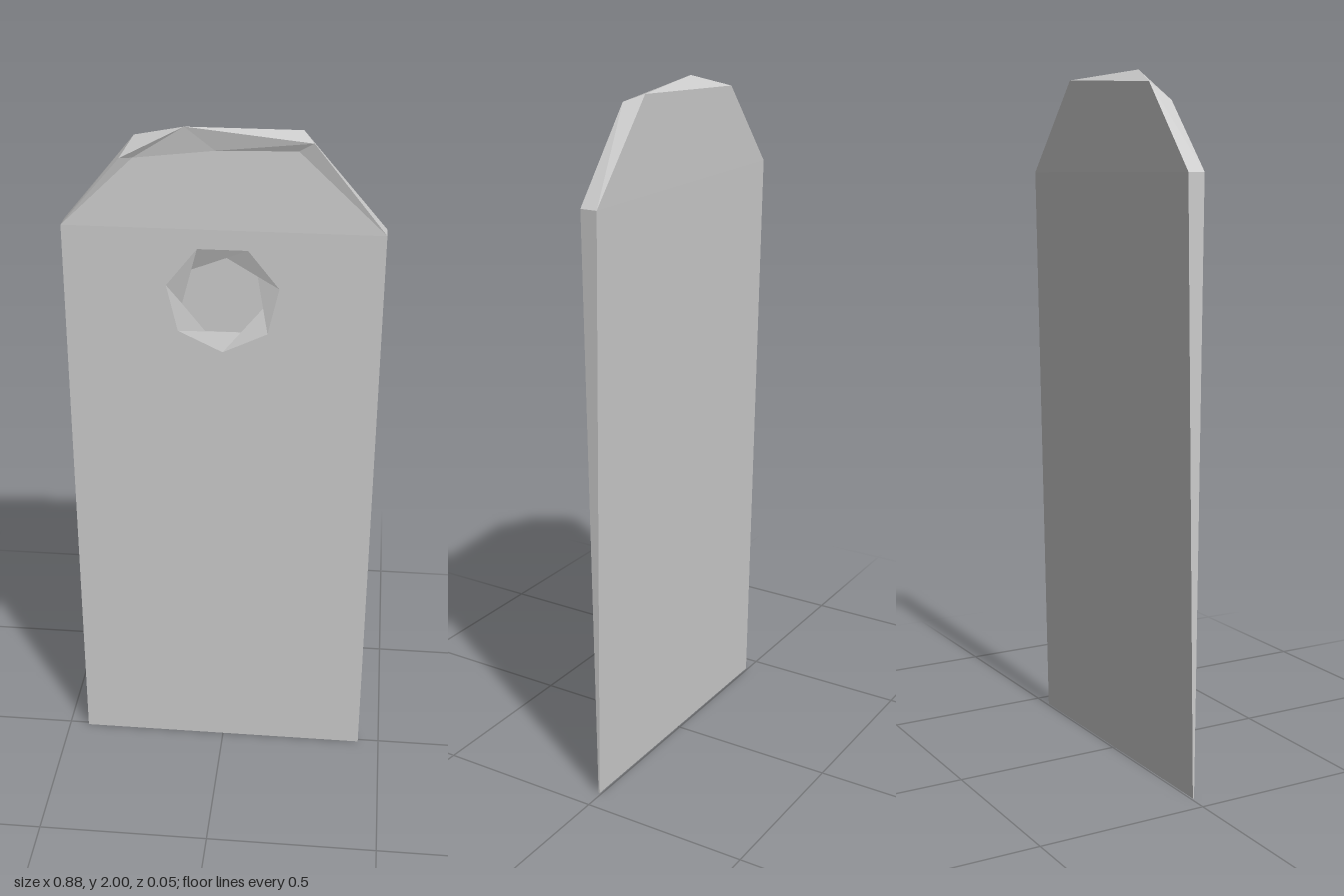
import * as THREE from 'three';

const material = new THREE.MeshStandardMaterial({ color: 0xcccccc, flatShading: true });
const SHOULDER = 1.72;

// The slab is a wedge: thin at the foot, full thickness from the shoulders up.
const taper = (y) => Math.min(y / SHOULDER, 1);
const frontZ = (y) => 0.01 + 0.015 * taper(y);
const backZ = (y) => 0.006 - 0.031 * taper(y);
const onto = (points, z) => points.map(([x, y]) => new THREE.Vector3(x, y, z(y)));

function addMesh(group, name, geometry) {
  geometry.computeVertexNormals();
  const mesh = new THREE.Mesh(geometry, material);
  mesh.name = name;
  group.add(mesh);
}

// Band of triangles joining two rows of equal length.
function strip(a, b, closed = false) {
  const points = [];
  const last = closed ? a.length : a.length - 1;
  for (let i = 0; i < last; i++) {
    const j = (i + 1) % a.length;
    points.push(a[i], b[j], b[i], a[i], a[j], b[j]);
  }
  return new THREE.BufferGeometry().setFromPoints(points);
}

// Flat outline, optionally pierced, laid onto a depth rule.
function panel(points, z, { hole, flip } = {}) {
  const shape = new THREE.Shape(points.map(([x, y]) => new THREE.Vector2(x, y)));
  if (hole) shape.holes.push(new THREE.Path(hole.map(([x, y]) => new THREE.Vector2(x, y))));
  const geometry = new THREE.ShapeGeometry(shape);
  const pos = geometry.attributes.position;
  for (let i = 0; i < pos.count; i++) pos.setZ(i, z(pos.getY(i)));
  if (flip) geometry.index.array.reverse();
  return geometry;
}

function ring(radius, turn) {
  return Array.from({ length: 7 }, (_, i) => {
    const a = turn + (i / 7) * Math.PI * 2;
    return [radius * Math.cos(a), 1.52 + radius * Math.sin(a)];
  });
}

export function createModel() {
  const group = new THREE.Group();
  group.name = 'tag';

  const foot = [[-0.44, 0], [0.435, 0]];
  const shoulders = [[-0.44, SHOULDER], [0.44, SHOULDER]];
  const lower = [foot[0], foot[1], shoulders[1], shoulders[0]];
  const frontCrown = [[-0.275, 1.91], [-0.1, 2], [0.24, 1.965]];
  const backCrown = [[-0.24, 1.96], [-0.24, 1.96], [0.21, 1.985]];

  // Rim running all the way round the slab
  const loop = (crown) => [foot[0], shoulders[0], ...crown, shoulders[1], foot[1]];
  addMesh(group, 'edge', strip(onto(loop(frontCrown), frontZ), onto(loop(backCrown), backZ), true));

  // Front face with its faceted round socket
  const outer = ring(0.16, -Math.PI / 2);
  const inner = ring(0.118, -Math.PI / 2 + Math.PI / 7);
  const floorZ = () => 0.001;
  addMesh(group, 'frontFace', panel(lower, frontZ, { hole: outer }));
  addMesh(group, 'socketWall', strip(onto(outer, frontZ), onto(inner, floorZ), true));
  addMesh(group, 'socketFloor', panel(inner, floorZ));

  // Crown: slightly sunken panel below a narrow bevel
  const sunken = (y) => 0.025 - (0.01 * (y - SHOULDER)) / 0.22;
  const innerCrown = [[-0.24, 1.91], [-0.02, 1.935], [0.2, 1.94]];
  const span = (crown) => [shoulders[0], ...crown, shoulders[1]];
  addMesh(group, 'crownPanel', panel(span(innerCrown).reverse(), sunken));
  addMesh(group, 'crownBevel', strip(onto(span(innerCrown), sunken), onto(span(frontCrown), frontZ)));

  // Plain back
  addMesh(group, 'backFace', panel(lower, backZ, { flip: true }));
  const backOutline = [shoulders[0], shoulders[1], backCrown[2], backCrown[0]];
  addMesh(group, 'backCrown', panel(backOutline, backZ, { flip: true }));

  return group;
}
